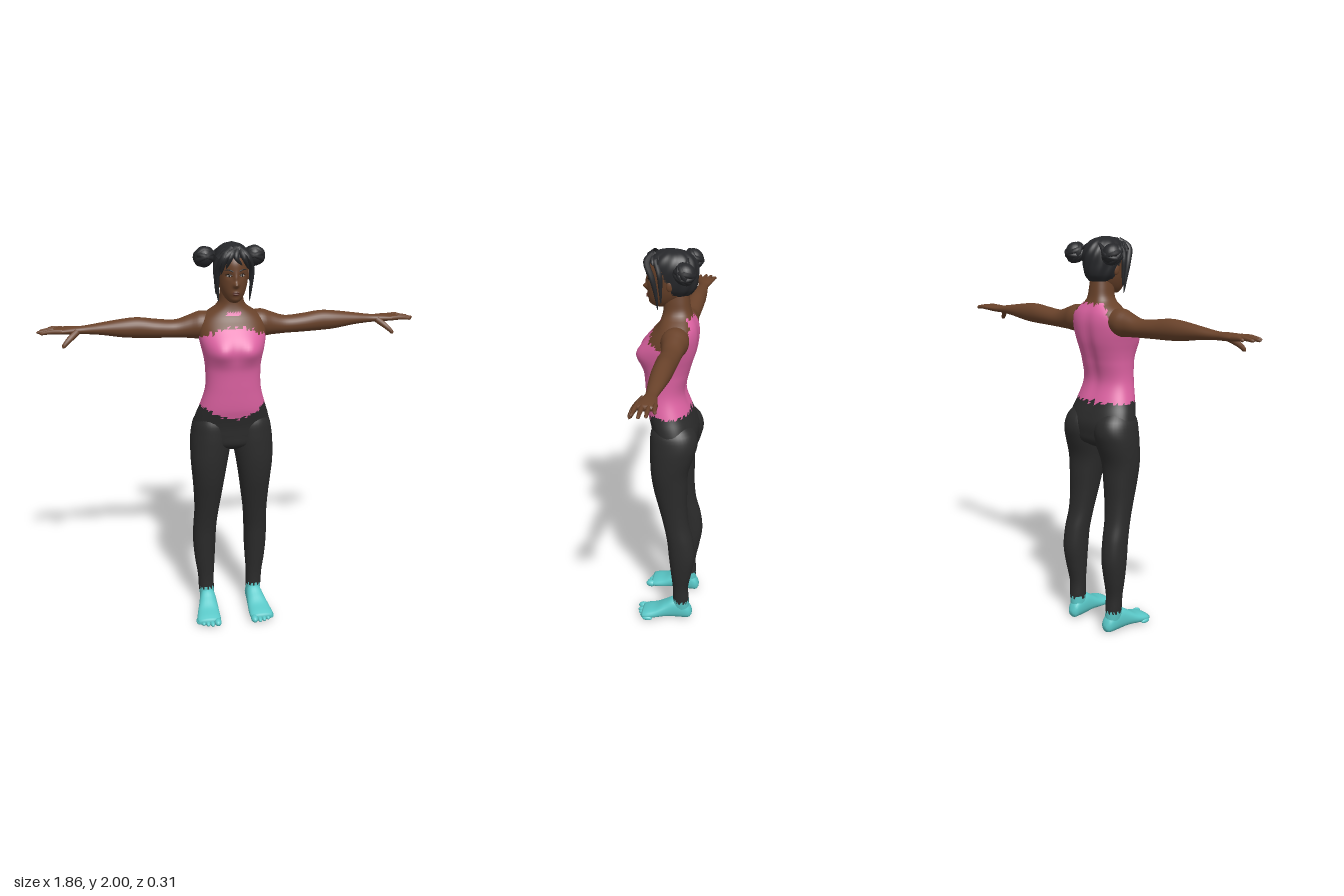
import * as THREE from 'three';

const mat = (name, color, side = THREE.FrontSide) => {
  const m = new THREE.MeshStandardMaterial({ color, side });
  m.name = name;
  return m;
};
const gauss = (x, y, cx, cy, sx, sy) => Math.exp(-(((x - cx) / sx) ** 2) - ((y - cy) / sy) ** 2);
const smooth = THREE.MathUtils.smoothstep;
const UP = (t, a, b) => [a, t, b];       // sections stacked along y: a = x, b = z
const SIDE = (t, a, b) => [t, b, a];     // sections stacked along x: a = z, b = y
const FORWARD = (t, a, b) => [b, a, t];  // sections stacked along z: a = y, b = x

// Smooth interpolation of section rows [t, aMin, aMax, bMin, bMax]
function sectionAt(rows, t) {
  let i = 0;
  while (i < rows.length - 2 && t > rows[i + 1][0]) i++;
  const p = rows[i], q = rows[i + 1], o = rows[Math.max(i - 1, 0)], r = rows[Math.min(i + 2, rows.length - 1)];
  const h = q[0] - p[0], u = (t - p[0]) / h;
  return p.map((v, k) => {
    const m0 = (q[k] - o[k]) / (q[0] - o[0]) * h, m1 = (r[k] - v) / (r[0] - p[0]) * h;
    return (2 * u ** 3 - 3 * u * u + 1) * v + (u ** 3 - 2 * u * u + u) * m0
      + (3 * u * u - 2 * u ** 3) * q[k] + (u ** 3 - u * u) * m1;
  });
}

// Closed body through rounded sections; pick(x, y, z) gives a face's material index, -1 leaves it open
function loft(rows, { place = UP, rings = 40, seg = 32, power = 2, shape, pick = () => 0 }) {
  const pos = [], faces = [], t0 = rows[0][0], t1 = rows[rows.length - 1][0];
  for (let i = 0; i <= rings; i++) {
    const t = t0 + (t1 - t0) * i / rings;
    const [, a0, a1, b0, b1] = sectionAt(rows, t);
    for (let j = 0; j < seg; j++) {
      const w = j / seg * Math.PI * 2, c = Math.cos(w), s = Math.sin(w);
      const a = (a0 + a1) / 2 + (a1 - a0) / 2 * Math.sign(c) * Math.abs(c) ** (2 / power);
      const b = (b0 + b1) / 2 + (b1 - b0) / 2 * Math.sign(s) * Math.abs(s) ** (2 / power);
      const v = place(t, a, b);
      if (shape) shape(v, w);
      pos.push(...v);
    }
  }
  for (let i = 0; i < rings; i++) for (let j = 0; j < seg; j++) {
    const a = i * seg + j, b = i * seg + (j + 1) % seg, c = a + seg, d = b + seg;
    faces.push([a, c, b], [b, c, d]);
  }
  const last = rings * seg, n = pos.length / 3;
  const ends = [[rows[0], 0], [rows[rows.length - 1], last]];
  ends.forEach(([r]) => pos.push(...place(r[0], (r[1] + r[2]) / 2, (r[3] + r[4]) / 2)));
  for (let j = 0; j < seg; j++) {
    const k = (j + 1) % seg;
    faces.push([n, j, k], [n + 1, last + k, last + j]);
  }
  const sets = [];
  for (const f of faces) {
    const mid = [0, 1, 2].map(k => (pos[f[0] * 3 + k] + pos[f[1] * 3 + k] + pos[f[2] * 3 + k]) / 3);
    const m = pick(...mid);
    if (m >= 0) (sets[m] ??= []).push(...f);
  }
  const g = new THREE.BufferGeometry(), index = [];
  g.setAttribute('position', new THREE.Float32BufferAttribute(pos, 3));
  sets.forEach((s, m) => { g.addGroup(index.length, s.length, m); index.push(...s); });
  g.setIndex(index);
  g.computeVertexNormals();
  return g;
}

// Tube along points whose radius shrinks towards its tip
function taper(points, radius, tip = 0.1, n = 12, radial = 8) {
  const curve = new THREE.CatmullRomCurve3(points.map(p => new THREE.Vector3(...p)));
  const g = new THREE.TubeGeometry(curve, n, radius, radial), p = g.attributes.position, v = new THREE.Vector3();
  for (let i = 0; i < p.count; i++) {
    const u = Math.floor(i / (radial + 1)) / n, c = curve.getPointAt(u);
    const k = u > 0.99 ? 0.02 : 1 + (tip - 1) * u * u;
    v.fromBufferAttribute(p, i).sub(c).multiplyScalar(k).add(c);
    p.setXYZ(i, v.x, v.y, v.z);
  }
  g.computeVertexNormals();
  return g;
}

function ball(x, y, z, rx, ry, rz, turn = 0) {
  return new THREE.SphereGeometry(1, 20, 14).scale(rx, ry, rz).rotateY(turn).translate(x, y, z);
}

function mirrored(geometry) {
  const g = geometry.clone().scale(-1, 1, 1), ix = g.index.array;
  for (let i = 0; i < ix.length; i += 3) [ix[i], ix[i + 1]] = [ix[i + 1], ix[i]];
  const n = g.attributes.normal;
  if (geometry.type !== 'BufferGeometry') for (let i = 0; i < n.count; i++) n.setX(i, -Math.abs(n.getX(i)) * Math.sign(geometry.attributes.normal.getX(i)));
  else g.computeVertexNormals();
  return g;
}

export function createModel() {
  const model = new THREE.Group();
  model.name = 'woman';
  const skin = mat('skin', 0x69422a), pink = mat('pinkTop', 0xdd62a2), black = mat('leggings', 0x2b2b2b);
  const teal = mat('tealShoes', 0x5ac8c8), hair = mat('hair', 0x26272a, THREE.DoubleSide);
  const lip = mat('lips', 0x55291f), white = mat('eyeWhite', 0xb8aca4), dark = mat('eyeDark', 0x17120f);
  const add = (name, g, m) => {
    const mesh = new THREE.Mesh(g, m);
    mesh.name = name;
    model.add(mesh);
  };
  const pair = (name, g, m) => { add(name + 'Left', g, m); add(name + 'Right', mirrored(g), m); };

  // Torso and neck, with ragged garment edges
  const torso = [
    [0.97, -0.08, 0.08, -0.08, 0.03], [1.0, -0.15, 0.15, -0.13, 0.07], [1.05, -0.19, 0.19, -0.143, 0.078],
    [1.1, -0.193, 0.193, -0.145, 0.082], [1.15, -0.182, 0.182, -0.13, 0.092], [1.2, -0.165, 0.165, -0.11, 0.105],
    [1.3, -0.138, 0.138, -0.08, 0.115], [1.4, -0.136, 0.136, -0.10, 0.123], [1.45, -0.142, 0.142, -0.115, 0.132],
    [1.5, -0.153, 0.153, -0.13, 0.137], [1.55, -0.163, 0.163, -0.138, 0.122], [1.6, -0.163, 0.163, -0.14, 0.088],
    [1.64, -0.148, 0.148, -0.133, 0.055], [1.67, -0.112, 0.112, -0.12, 0.04], [1.69, -0.08, 0.08, -0.11, 0.034],
    [1.715, -0.062, 0.062, -0.102, 0.03], [1.76, -0.055, 0.055, -0.095, 0.03], [1.8, -0.05, 0.05, -0.09, 0.03]];
  add('torso', loft(torso, {
    rings: 76, seg: 64, power: 2.25,
    shape: v => {
      const x = Math.abs(v[0]);
      if (v[2] > 0) v[2] += 0.026 * gauss(x, v[1], 0.075, 1.5, 0.06, 0.055);
      else v[2] += 0.012 * gauss(x, v[1], 0, 1.45, 0.03, 0.2);
    },
    pick: (x, y, z) => {
      const ax = Math.abs(x), rag = 0.006 * Math.sin(x * 150 + z * 90) + 0.004 * Math.sin(x * 310);
      const dip = 0.05 * smooth(z, 0, 0.08) * Math.max(0, 1 - (x / 0.14) ** 2);
      if (y < 1.205 - dip + rag) return 2;
      const front = 1.608 - 2 * ax * ax, back = 1.685 - 1.2 * Math.max(0, ax - 0.07);
      if (y < front + (back - front) * smooth(-z, 0, 0.09) + rag) return 1;
      return z > 0 && ax < 0.035 && y > 1.656 && y < 1.674 ? 1 : 0;
    },
  }), [skin, pink, black]);

  // Legs
  const leg = [
    [0.04, 0.092, 0.162, -0.128, -0.03], [0.12, 0.09, 0.172, -0.126, -0.04], [0.2, 0.09, 0.176, -0.122, -0.04],
    [0.3, 0.084, 0.19, -0.14, -0.03], [0.4, 0.079, 0.198, -0.155, -0.02], [0.5, 0.075, 0.197, -0.145, -0.01],
    [0.6, 0.066, 0.193, -0.12, 0.01], [0.7, 0.052, 0.196, -0.11, 0.035], [0.8, 0.038, 0.203, -0.11, 0.06],
    [0.9, 0.022, 0.211, -0.113, 0.075], [1.0, 0.004, 0.211, -0.143, 0.08], [1.06, 0.002, 0.205, -0.156, 0.08],
    [1.12, 0.01, 0.19, -0.14, 0.075], [1.17, 0.04, 0.155, -0.09, 0.05]];
  pair('leg', loft(leg, {
    rings: 70, seg: 36, power: 2.15,
    pick: (x, y, z) => y < 0.112 + 0.02 * smooth(z, -0.09, -0.04) + 0.008 * Math.sin(x * 300 + z * 200) ? 1 : 0,
  }), [black, teal]);

  // Feet with toes
  const foot = [
    [-0.142, 0.02, 0.045, 0.11, 0.14], [-0.132, 0.004, 0.07, 0.096, 0.153], [-0.1, 0, 0.105, 0.09, 0.164],
    [-0.05, 0, 0.122, 0.086, 0.172], [0, 0.004, 0.094, 0.083, 0.184], [0.05, 0.002, 0.064, 0.08, 0.198],
    [0.1, 0, 0.048, 0.08, 0.206], [0.125, 0.004, 0.038, 0.086, 0.2]];
  pair('foot', loft(foot, { place: FORWARD, rings: 30, seg: 24, power: 2.3 }), teal);
  for (let i = 0; i < 5; i++) {
    const r = i ? 0.013 : 0.019;
    pair('toe' + (i + 1), ball(0.1 + i * 0.023 + (i ? 0.006 : 0), r, 0.127 - i * i * 0.0022, r, r, 0.029), teal);
  }

  // Arms and palms
  const arm = [
    [0.06, -0.10, 0.0, 1.57, 1.655], [0.15, -0.115, 0.018, 1.535, 1.668], [0.2, -0.106, 0.006, 1.538, 1.652],
    [0.27, -0.1, -0.004, 1.542, 1.63], [0.36, -0.1, -0.002, 1.545, 1.636], [0.45, -0.1, -0.008, 1.548, 1.647],
    [0.52, -0.098, -0.01, 1.553, 1.643], [0.63, -0.09, -0.02, 1.57, 1.628], [0.72, -0.081, -0.028, 1.578, 1.616],
    [0.77, -0.09, -0.018, 1.579, 1.617], [0.82, -0.097, -0.008, 1.584, 1.615], [0.85, -0.092, -0.012, 1.588, 1.611]];
  pair('arm', loft(arm, { place: SIDE, rings: 56, seg: 28 }), skin);
  [[-0.088, -0.102, 0.882], [-0.065, -0.072, 0.918], [-0.04, -0.043, 0.931], [-0.017, -0.012, 0.915]]
    .forEach(([z0, z1, tip], i) => pair('finger' + (i + 1),
      taper([[0.81, 1.6, z0], [0.86, 1.602, (z0 + z1) / 2], [tip, 1.595, z1]], 0.0115, 0.55), skin));
  pair('thumb', taper([[0.74, 1.594, -0.03], [0.775, 1.568, 0], [0.795, 1.55, 0.012], [0.812, 1.53, 0.02]], 0.016, 0.5), skin);

  // Head with sculpted face
  const head = [
    [1.728, -0.022, 0.022, 0.0, 0.078], [1.74, -0.037, 0.037, -0.025, 0.092], [1.765, -0.053, 0.053, -0.06, 0.101],
    [1.8, -0.066, 0.066, -0.09, 0.105], [1.84, -0.073, 0.073, -0.105, 0.106], [1.88, -0.076, 0.076, -0.11, 0.108],
    [1.92, -0.074, 0.074, -0.11, 0.103], [1.96, -0.058, 0.058, -0.09, 0.078], [1.985, -0.025, 0.025, -0.045, 0.035]];
  add('head', loft(head, {
    rings: 64, seg: 72,
    shape: v => {
      const x = Math.abs(v[0]), y = v[1];
      if (v[2] < 0.02) return;
      v[2] += 0.022 * gauss(x, y, 0, 1.817, 0.012, 0.013) + 0.009 * gauss(x, y, 0, 1.845, 0.008, 0.022)
        + 0.006 * gauss(x, y, 0, 1.776, 0.02, 0.012) - 0.007 * gauss(x, y, 0.031, 1.857, 0.016, 0.013)
        + 0.004 * gauss(x, y, 0, 1.745, 0.02, 0.01);
    },
  }), skin);
  pair('ear', ball(0.076, 1.845, -0.012, 0.009, 0.027, 0.017, 0.3), skin);
  pair('eye', ball(0.032, 1.857, 0.089, 0.013, 0.0055, 0.004, 0.6), white);
  pair('iris', ball(0.031, 1.857, 0.0915, 0.0055, 0.0055, 0.003, 0.6), dark);
  pair('eyelid', taper([[0.016, 1.858, 0.1], [0.031, 1.864, 0.095], [0.048, 1.861, 0.082]], 0.0028, 0.6), dark);
  pair('eyebrow', taper([[0.014, 1.879, 0.107], [0.033, 1.886, 0.099], [0.053, 1.882, 0.08]], 0.0032, 0.4), hair);
  add('upperLip', ball(0, 1.78, 0.107, 0.019, 0.0042, 0.005), lip);
  add('lowerLip', ball(0, 1.772, 0.106, 0.016, 0.005, 0.006), lip);

  // Hair cap with combed ridges, open around the face
  const cap = [
    [1.79, -0.055, 0.055, -0.1, 0.06], [1.82, -0.075, 0.075, -0.123, 0.09], [1.87, -0.085, 0.085, -0.133, 0.115],
    [1.92, -0.086, 0.086, -0.133, 0.115], [1.96, -0.073, 0.073, -0.113, 0.098], [1.985, -0.048, 0.048, -0.078, 0.062],
    [1.998, -0.012, 0.012, -0.028, 0.018]];
  add('hairCap', loft(cap, {
    rings: 44, seg: 72,
    shape: (v, w) => {
      const k = 1 + 0.022 * Math.sin(w * 12 + v[1] * 50);
      v[0] *= k;
      v[2] *= k;
    },
    pick: (x, y, z) => (y > 1.94 || z < -0.015 + (y - 1.82) * 0.45 ? 0 : -1),
  }), hair);
  for (let i = 0; i < 6; i++) {
    const z = 0.075 - i * 0.032, top = 1.984 - Math.abs(i - 2) * 0.006;
    add('hairRidge' + (i + 1), taper([[-0.075, 1.935, z - 0.01], [-0.04, top - 0.008, z],
      [0, top, z], [0.04, top - 0.008, z], [0.075, 1.935, z - 0.01]], 0.011, 0.8), hair);
  }

  // Buns wrapped with coils
  const bun = [0.122, 1.92, -0.088];
  pair('bun', ball(...bun, 0.046, 0.05, 0.05), hair);
  for (let i = 0; i < 4; i++) {
    const coil = new THREE.TorusGeometry(0.04, 0.014, 8, 24).rotateX(0.5 + i * 0.75).rotateY(i * 0.9);
    pair('bunCoil' + (i + 1), coil.translate(...bun), hair);
  }

  // Fringe and side locks
  pair('sideLock', taper([[0.015, 1.978, 0.07], [0.055, 1.945, 0.098], [0.08, 1.88, 0.07],
    [0.08, 1.8, 0.052], [0.074, 1.728, 0.045]], 0.016, 0.15, 20), hair);
  pair('rearLock', taper([[0.05, 1.955, 0.06], [0.083, 1.9, 0.035], [0.084, 1.83, 0.03], [0.083, 1.76, 0.028]], 0.014, 0.15, 20), hair);
  [[0.02, 0.0, 0.03, 1.905], [0.02, 0.035, 0.062, 1.885], [0.0, -0.025, -0.045, 1.89], [0.01, -0.045, -0.068, 1.86]]
    .forEach(([x0, x1, x2, y], i) => add('fringe' + (i + 1),
      taper([[x0, 1.978, 0.065], [x1, 1.945, 0.105], [x2, y, 0.115 - Math.abs(x2) * 0.55]], 0.016, 0.15), hair));

  return model;
}
